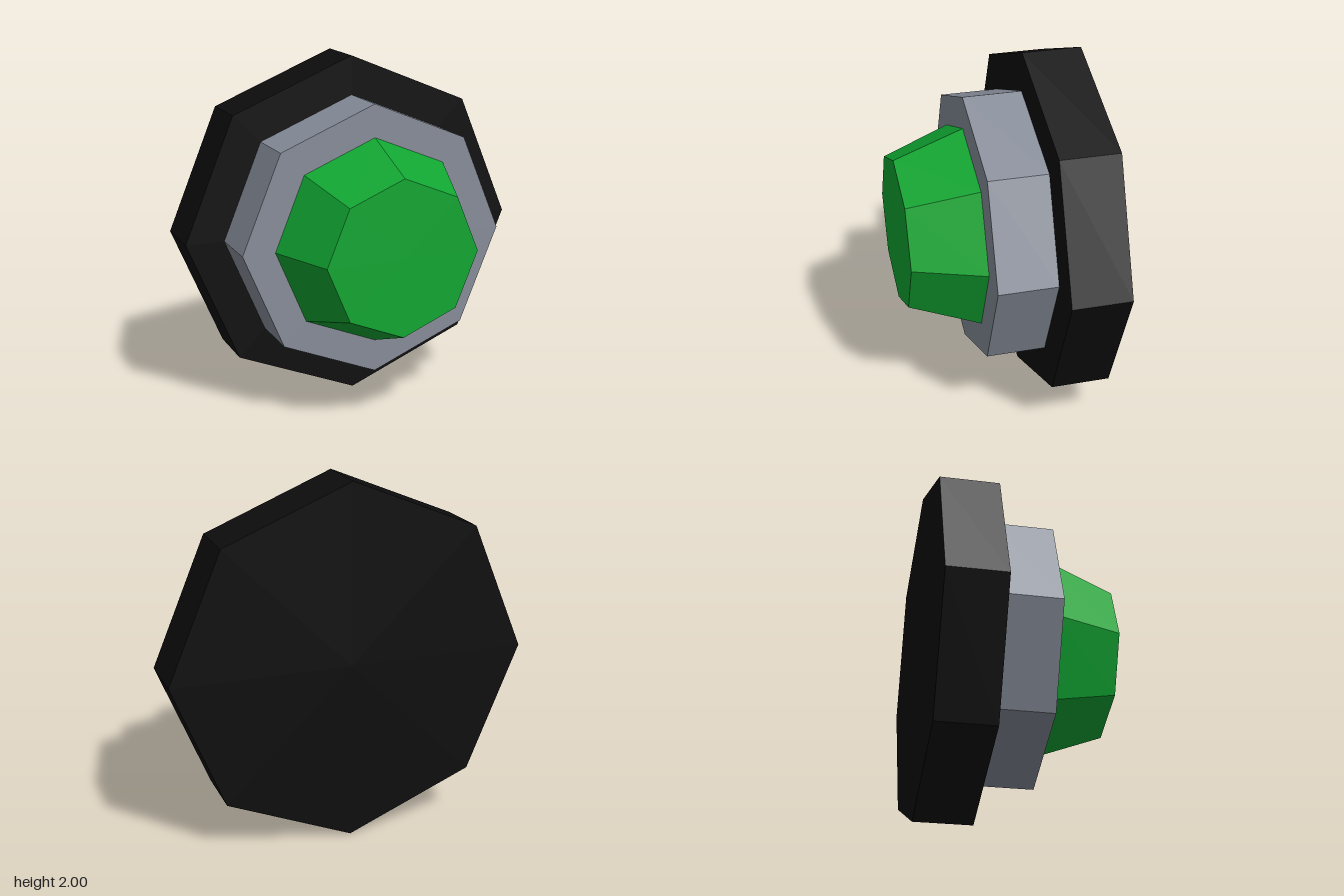
import * as THREE from 'three';

const material = (name, color) => {
  const m = new THREE.MeshStandardMaterial({ color, flatShading: true });
  m.name = name;
  return m;
};

export function createModel() {
  const group = new THREE.Group();
  group.name = 'button';
  const black = material('black', 0x0d0d0d);
  const grey = material('grey', 0x868c98);
  const green = material('green', 0x11a632);

  // Octagonal disc facing +z, with a corner at the top
  const disc = (name, mat, backRadius, frontRadius, z0, z1) => {
    const geometry = new THREE.CylinderGeometry(frontRadius, backRadius, z1 - z0, 8);
    geometry.rotateX(Math.PI / 2);
    const mesh = new THREE.Mesh(geometry, mat);
    mesh.name = name;
    mesh.position.set(0, 1, (z0 + z1) / 2);
    group.add(mesh);
  };

  disc('backPlate', black, 1, 1, -0.525, -0.195);
  disc('collar', grey, 0.777, 0.777, -0.195, 0.135);
  disc('cap', green, 0.59, 0.443, 0.135, 0.525); // tapers toward the front

  return group;
}
